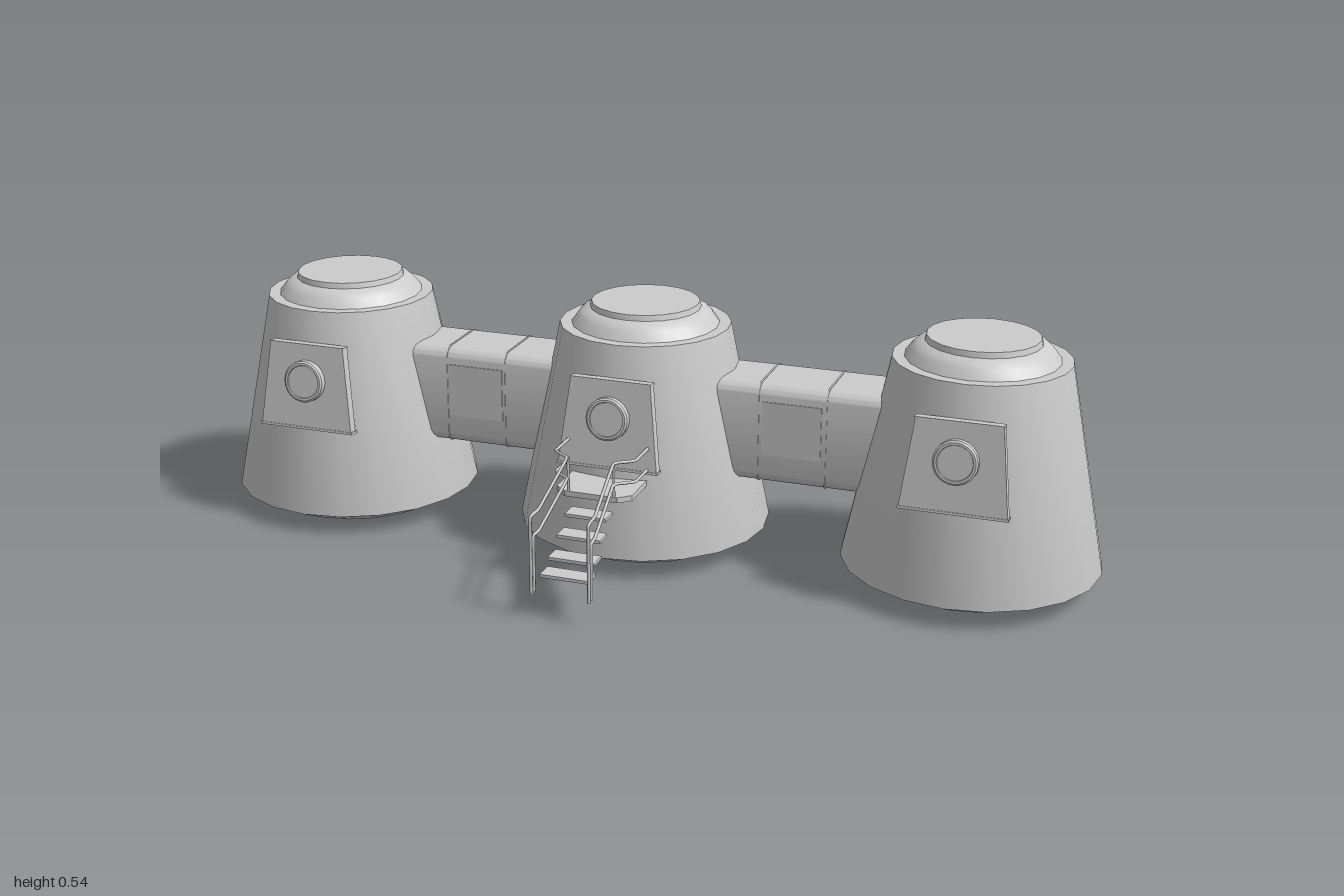
import * as THREE from 'three';
import { toCreasedNormals } from 'three/addons/utils/BufferGeometryUtils.js';

const material = new THREE.MeshStandardMaterial({ color: 0xcccccc });
const MID_X = -0.012, POD_Z = -0.115;

function add(parent, name, geometry, x = 0, y = 0, z = 0) {
  const mesh = new THREE.Mesh(geometry, material);
  mesh.name = name;
  mesh.position.set(x, y, z);
  parent.add(mesh);
  return mesh;
}

function polygon(points) {
  return new THREE.Shape(points.map(([x, y]) => new THREE.Vector2(x, y)));
}

function roundedRect(w, h, r) {
  const s = new THREE.Shape(), x = w / 2, y = h / 2;
  s.absarc(x - r, y - r, r, 0, Math.PI / 2);
  s.absarc(-x + r, y - r, r, Math.PI / 2, Math.PI);
  s.absarc(-x + r, -y + r, r, Math.PI, Math.PI * 1.5);
  s.absarc(x - r, -y + r, r, Math.PI * 1.5, Math.PI * 2);
  s.closePath();
  return s;
}

// Straight runs joined by small rounded bends
function bentTube(points, radius, bend) {
  const p = points.map(a => new THREE.Vector3(...a));
  const path = new THREE.CurvePath();
  let from = p[0];
  for (let i = 1; i < p.length - 1; i++) {
    const a = p[i].clone().add(p[i - 1].clone().sub(p[i]).setLength(bend));
    const b = p[i].clone().add(p[i + 1].clone().sub(p[i]).setLength(bend));
    path.add(new THREE.LineCurve3(from, a));
    path.add(new THREE.QuadraticBezierCurve3(a, p[i], b));
    from = b;
  }
  path.add(new THREE.LineCurve3(from, p[p.length - 1]));
  return new THREE.TubeGeometry(path, 70, radius, 6);
}

// Tapered pod with bevelled foot, rim ledge and domed cap
function createPod() {
  const pod = new THREE.Group();
  pod.name = 'pod';
  const profile = [
    [0, 0], [0.188, 0.003], [0.275, 0.045], [0.275, 0.049], [0.185, 0.49], [0.16, 0.49],
    [0.146, 0.509], [0.136, 0.519], [0.12, 0.525], [0.117, 0.537], [0, 0.537],
  ].map(([r, y]) => new THREE.Vector2(r, y));
  add(pod, 'podShell', toCreasedNormals(new THREE.LatheGeometry(profile, 20), 0.5));

  // Leaning hatch plate with a round porthole
  const hatch = new THREE.Group();
  hatch.name = 'hatch';
  hatch.position.set(0, 0.237, 0.242);
  hatch.rotation.x = -0.116;
  const plate = polygon([[-0.11, 0], [0.11, 0], [0.088, 0.187], [-0.088, 0.187]]);
  add(hatch, 'hatchPlate', new THREE.ExtrudeGeometry(plate, { depth: 0.022, bevelEnabled: false }), 0, 0, -0.022);
  const sill = add(hatch, 'hatchSill', new THREE.BoxGeometry(0.224, 0.006, 0.026), 0, 0.001, -0.011);
  sill.scale.y = 0.9;
  add(hatch, 'hatchLintel', new THREE.BoxGeometry(0.178, 0.005, 0.025), 0, 0.187, -0.011);
  const window = [[0.046, 0], [0.046, 0.014], [0.042, 0.017], [0.037, 0.017], [0.036, 0.014], [0, 0.014]]
    .map(([r, y]) => new THREE.Vector2(r, y));
  const port = add(hatch, 'porthole', toCreasedNormals(new THREE.LatheGeometry(window, 24), 0.5), 0, 0.108, 0);
  port.rotation.x = Math.PI / 2;
  pod.add(hatch);
  return pod;
}

// Rounded corridor with raised seams and a shallow side panel
function createCorridor(x0, x1, seams) {
  const corridor = new THREE.Group();
  corridor.name = 'corridor';
  const along = (name, start, end, grow) => {
    const shape = roundedRect(0.17 + grow, 0.22 + grow, 0.028);
    const geo = new THREE.ExtrudeGeometry(shape, { depth: end - start, bevelEnabled: false, curveSegments: 4 });
    add(corridor, name, toCreasedNormals(geo, 0.6), start, 0.293, -0.118).rotation.y = Math.PI / 2;
  };
  along('corridorShell', x0, x1, 0);
  seams.forEach(x => along('corridorSeam', x - 0.002, x + 0.002, 0.003));
  const mid = (seams[0] + seams[1]) / 2;
  add(corridor, 'sidePanel', new THREE.BoxGeometry(0.128, 0.118, 0.003), mid, 0.308, -0.0325);
  return corridor;
}

// Landing, floating treads and double handrails
function createStairs() {
  const stairs = new THREE.Group();
  stairs.name = 'stairs';
  stairs.position.x = MID_X;
  const deck = polygon([[-0.083, -0.09], [0.083, -0.09], [0.083, -0.2], [0.058, -0.222], [-0.058, -0.222], [-0.083, -0.2]]);
  const landing = new THREE.ExtrudeGeometry(deck, { depth: 0.012, bevelEnabled: false });
  add(stairs, 'landing', landing, 0, 0.203, 0).rotation.x = -Math.PI / 2;

  [[0.234, 0.175], [0.273, 0.143], [0.314, 0.11], [0.353, 0.088]].forEach(([z, y], i) =>
    add(stairs, 'tread', new THREE.BoxGeometry(0.09 + i * 0.005, 0.007, 0.042), 0, y, z));

  for (const s of [-1, 1]) {
    for (const [y, z] of [[0.29, 0.396], [0.244, 0.381]]) {
      add(stairs, 'handrail', bentTube([
        [s * 0.088, y, 0.1], [s * 0.088, y, 0.195], [s * 0.05, y, 0.222],
        [s * 0.06, y - 0.065, 0.355], [s * 0.062, y - 0.065, z], [s * 0.062, 0.055, z],
      ], 0.0035, 0.008), 0, 0, 0);
    }
    add(stairs, 'railPost', new THREE.CylinderGeometry(0.003, 0.003, 0.087, 6), s * 0.05, 0.2465, 0.219);
  }
  return stairs;
}

export function createModel() {
  const model = new THREE.Group();
  model.name = 'habitat';
  for (const x of [-0.72, MID_X, 0.718]) {
    const pod = createPod();
    pod.position.set(x, 0, POD_Z);
    model.add(pod);
  }
  model.add(createCorridor(-0.6, -0.14, [-0.45, -0.312]));
  model.add(createCorridor(0.12, 0.6, [0.268, 0.415]));
  model.add(createStairs());
  return model;
}
